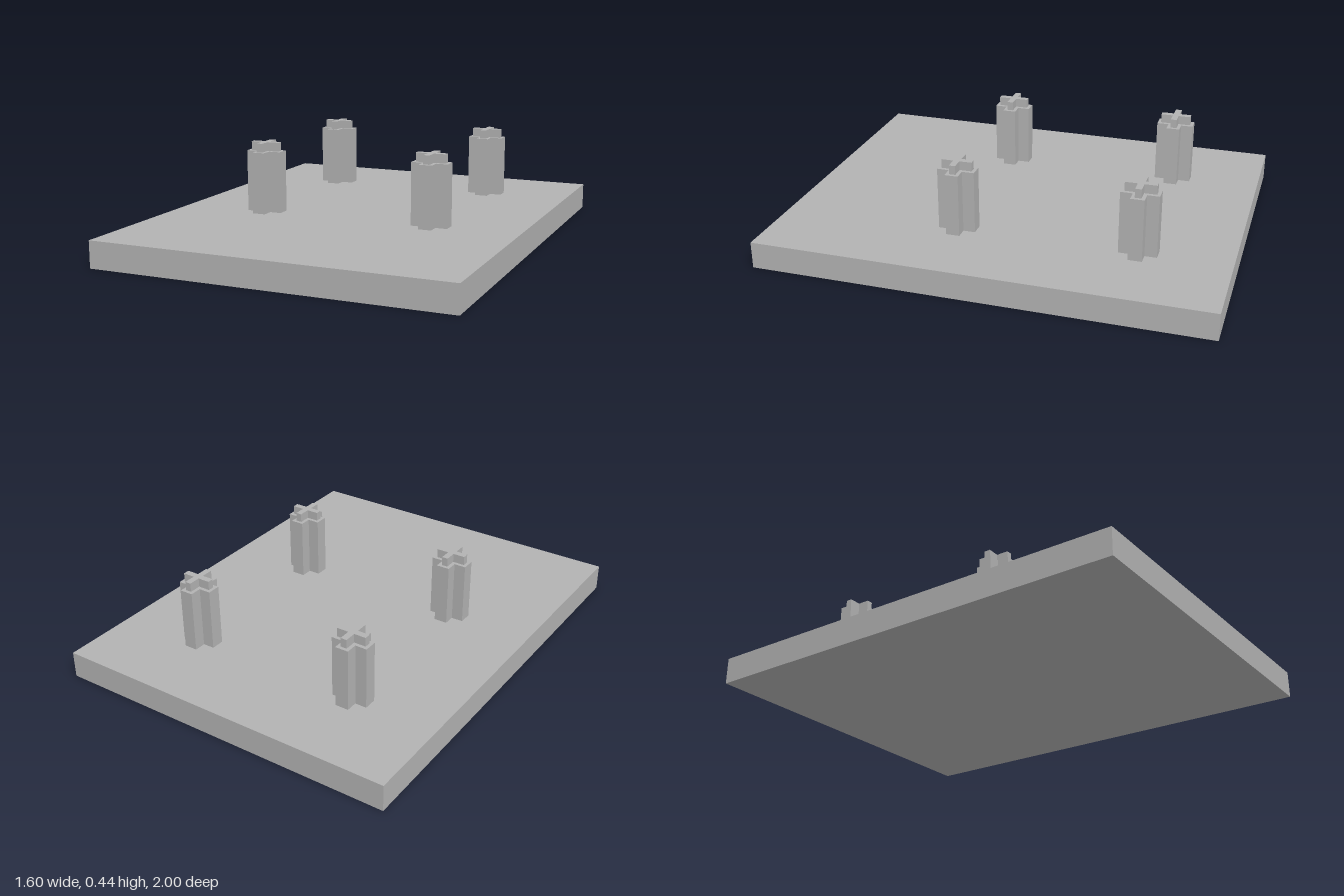
import * as THREE from 'three';

// Plus-shaped prism standing on y = 0
function crossPrism(span, arm, height) {
  const s = span / 2, a = arm / 2;
  const outline = [
    [a, -s], [a, -a], [s, -a], [s, a], [a, a], [a, s],
    [-a, s], [-a, a], [-s, a], [-s, -a], [-a, -a], [-a, -s],
  ].map(([x, y]) => new THREE.Vector2(x, y));
  const geometry = new THREE.ExtrudeGeometry(new THREE.Shape(outline), {
    depth: height, bevelEnabled: false,
  });
  return geometry.rotateX(-Math.PI / 2);
}

export function createModel() {
  const model = new THREE.Group();
  model.name = 'plateWithCrossPosts';

  const grey = new THREE.MeshStandardMaterial({ color: 0xb2b2b2 });
  grey.name = 'grey';

  const add = (parent, name, geometry, y) => {
    const mesh = new THREE.Mesh(geometry, grey);
    mesh.name = name;
    mesh.position.y = y;
    parent.add(mesh);
  };

  // Base plate
  const plateHeight = 0.12;
  add(model, 'basePlate', new THREE.BoxGeometry(1.6, plateHeight, 2), plateHeight / 2);

  // Four cross-shaped posts, each with a slimmer cross on top
  const postHeight = 0.28;
  const shaft = crossPrism(0.166, 0.06, postHeight);
  const tip = crossPrism(0.136, 0.028, 0.04);
  for (const [end, z] of [['Front', 0.2], ['Back', -0.6]]) {
    for (const [side, x] of [['Left', 0.4], ['Right', -0.4]]) {
      const post = new THREE.Group();
      post.name = `post${end}${side}`;
      post.position.set(x, plateHeight, z);
      add(post, 'postShaft', shaft, 0);
      add(post, 'postTip', tip, postHeight);
      model.add(post);
    }
  }
  return model;
}
